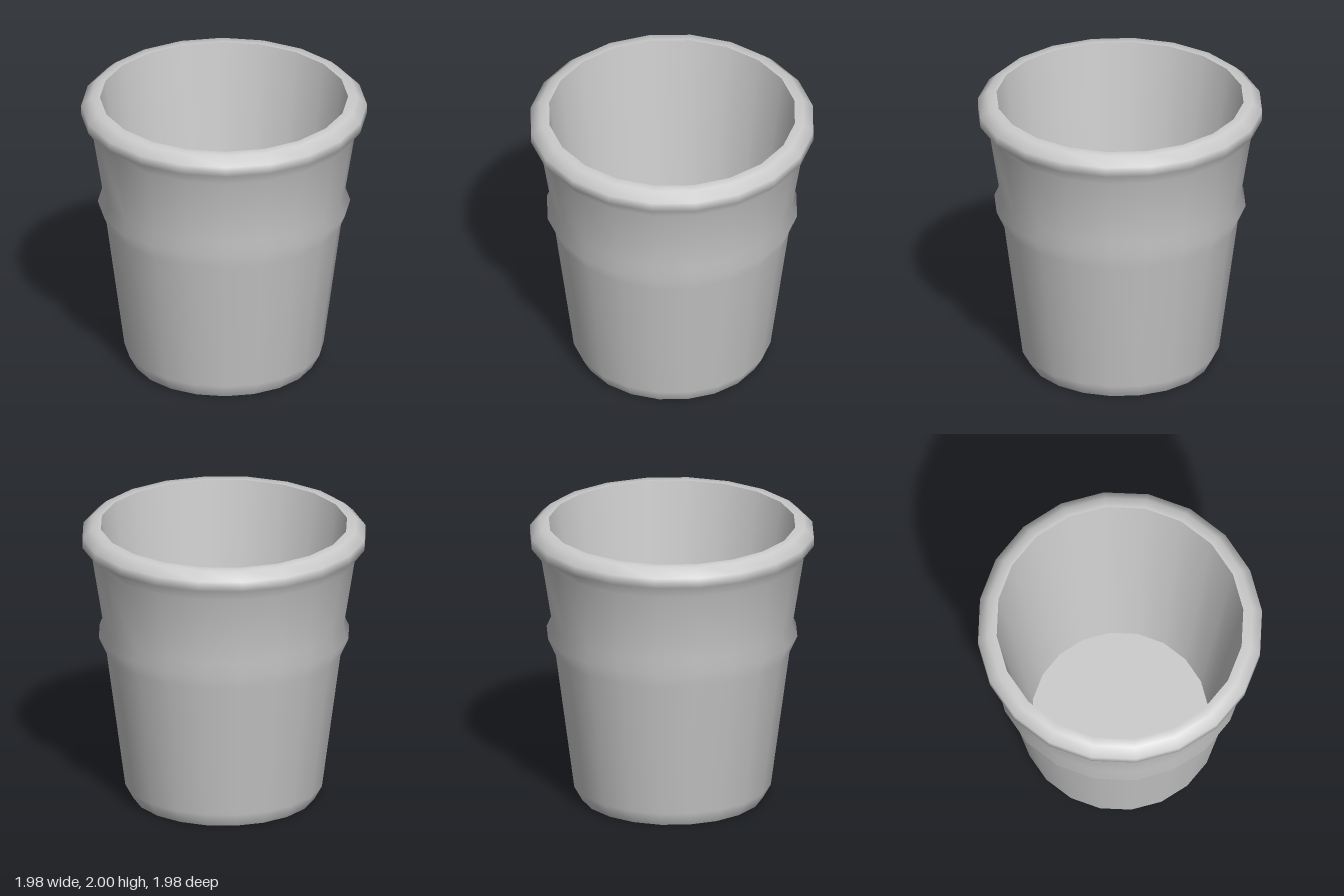
import * as THREE from 'three';

const SIDES = 20;
const FLOOR_Y = 0.12;

export function createModel() {
  const group = new THREE.Group();
  group.name = 'cup';
  const material = new THREE.MeshStandardMaterial({ color: 0xcccccc });

  function add(name, geometry) {
    const mesh = new THREE.Mesh(geometry, material);
    mesh.name = name;
    group.add(mesh);
    return mesh;
  }

  // Turned surface from [radius, height] pairs
  const turned = (profile) =>
    new THREE.LatheGeometry(profile.map(([r, y]) => new THREE.Vector2(r, y)), SIDES);

  // Outside: bevelled foot, tapered body, raised band, flared collar, rolled rim
  add('outerWall', turned([
    [0.635, 0], [0.69, 0.1], [0.82, 1.08], [0.875, 1.2], [0.84, 1.28],
    [0.92, 1.78], [0.99, 1.87], [0.99, 1.94], [0.925, 2], [0.86, 2],
  ]));

  // Inside: plain taper from the rim down to the floor
  add('innerWall', turned([[0.86, 2], [0.615, FLOOR_Y]]));

  // Flat discs: inside floor faces up, underside faces down
  const floor = add('floor', new THREE.CircleGeometry(0.615, SIDES).rotateX(-Math.PI / 2));
  floor.position.y = FLOOR_Y;
  add('base', new THREE.CircleGeometry(0.635, SIDES).rotateX(Math.PI / 2));

  return group;
}
